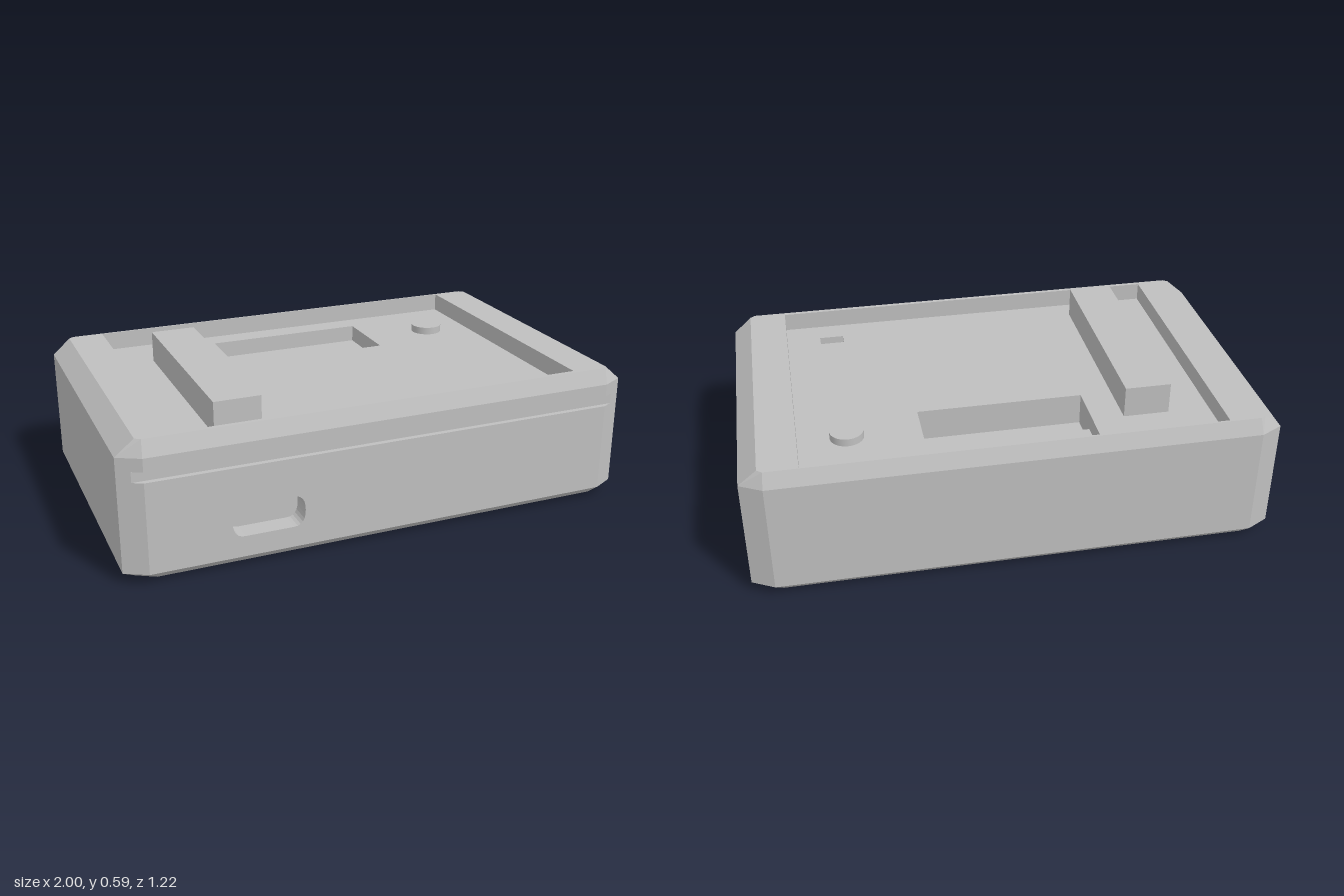
import * as THREE from 'three';

const grey = new THREE.MeshStandardMaterial({ color: 0xbfbfbf, side: THREE.DoubleSide });
grey.name = 'lightGrey';

// Eight-sided outline with cut corners, at height y
function ring(y, hx, hz, cx = 0.085, cz = 0.045) {
  return [
    [hx, hz - cz], [hx - cx, hz], [cx - hx, hz], [-hx, hz - cz],
    [-hx, cz - hz], [cx - hx, -hz], [hx - cx, -hz], [hx, cz - hz],
  ].map(([x, z]) => [x, y, z]);
}

// Full outline with the front sliced back, for the groove
function slicedRing(y) {
  const r = ring(y, 1, 0.61);
  r[1] = [0.953, y, 0.59];
  r[2] = [-0.953, y, 0.59];
  return r;
}

// Joins rings from bottom to top with flat faces; skip(level, side) leaves a gap
function loft(rings, skip = () => false) {
  const v = [];
  for (let k = 0; k < rings.length - 1; k++) {
    for (let i = 0; i < 8; i++) {
      if (skip(k, i)) continue;
      const j = (i + 1) % 8;
      const a = rings[k][i], b = rings[k][j], A = rings[k + 1][i], B = rings[k + 1][j];
      v.push(...a, ...A, ...b, ...b, ...A, ...B);
    }
  }
  const g = new THREE.BufferGeometry();
  g.setAttribute('position', new THREE.Float32BufferAttribute(v, 3));
  g.computeVertexNormals();
  return g;
}

// Walls of an opening, facing inward, between depths d0 and d1 along z
function lining(points, d0, d1) {
  const v = [];
  points.forEach((p, i) => {
    const q = points[(i + 1) % points.length];
    v.push(p.x, p.y, d0, p.x, p.y, d1, q.x, q.y, d0, q.x, q.y, d0, p.x, p.y, d1, q.x, q.y, d1);
  });
  const g = new THREE.BufferGeometry();
  g.setAttribute('position', new THREE.Float32BufferAttribute(v, 3));
  g.computeVertexNormals();
  return g;
}

const toPoints = (list) => list.map(([x, y]) => new THREE.Vector2(x, y));
// Rectangle on the plan, given in x and z
const planRect = (x0, x1, z0, z1) => toPoints([[x0, -z1], [x1, -z1], [x1, -z0], [x0, -z0]]);

function plate(outline, holes = []) {
  const s = new THREE.Shape(outline);
  s.holes = holes.map((h) => new THREE.Path(h));
  return new THREE.ShapeGeometry(s);
}

export function createModel() {
  const model = new THREE.Group();
  model.name = 'enclosure';
  const add = (name, geometry, x = 0, y = 0, z = 0) => {
    const m = new THREE.Mesh(geometry, grey);
    m.name = name;
    m.position.set(x, y, z);
    model.add(m);
    return m;
  };
  const addFlat = (name, geometry, y = 0) => add(name, geometry.rotateX(-Math.PI / 2), 0, y);
  const box = (name, x0, x1, y0, y1, z0, z1) => add(name,
    new THREE.BoxGeometry(x1 - x0, y1 - y0, z1 - z0), (x0 + x1) / 2, (y0 + y1) / 2, (z0 + z1) / 2);

  // Base tray with its rounded lower edge
  const foot = ring(0, 0.9, 0.55, 0.05, 0.03);
  const seam = 0.115, top = 0.54, floor = 0.467;
  add('baseTray', loft([foot, ring(0.018, 0.955, 0.59, 0.07, 0.04), ring(0.042, 1, 0.61), ring(seam, 1, 0.61)]));
  const underside = plate(toPoints(foot.map(([x, , z]) => [x, z]))).rotateX(Math.PI / 2);
  add('underside', underside);

  // Upper shell, with the groove across the front
  const rim = ring(top, 0.93, 0.585, 0.02, 0.015);
  add('upperShell', loft([
    ring(seam, 1, 0.61), ring(0.39, 1, 0.61), slicedRing(0.39), slicedRing(0.43),
    ring(0.43, 1, 0.61), ring(0.48, 1, 0.61), rim,
  ], (k, i) => k === 0 && i === 1));

  // Front panel with a rounded port
  const port = new THREE.Shape();
  const px0 = -0.612, px1 = -0.338, py0 = 0.122, py1 = 0.242, r = 0.045;
  port.moveTo(px0 + r, py0);
  port.lineTo(px1 - r, py0);
  port.quadraticCurveTo(px1, py0, px1, (py0 + py1) / 2);
  port.quadraticCurveTo(px1, py1, px1 - r, py1);
  port.lineTo(px0 + r, py1);
  port.quadraticCurveTo(px0, py1, px0, (py0 + py1) / 2);
  port.quadraticCurveTo(px0, py0, px0 + r, py0);
  const portPoints = port.getPoints(6).slice(0, -1);
  add('frontPanel', plate(toPoints([[-0.915, seam], [0.915, seam], [0.915, 0.39], [-0.915, 0.39]]), [portPoints]), 0, 0, 0.61);
  add('portWall', lining(portPoints, 0.53, 0.61));
  add('portBack', plate(portPoints), 0, 0, 0.53);

  // Top rim around the sunken panel
  const recess = planRect(-0.79, 0.785, -0.578, 0.568);
  const rimOutline = toPoints(rim.map(([x, , z]) => [x, -z]));
  addFlat('topRim', plate(rimOutline, [recess]), top);
  addFlat('recessWall', lining(recess, floor, top));

  // Sunken panel with a display window and a small slot
  const windowHole = planRect(-0.327, 0.32, -0.487, -0.19);
  const slotHole = planRect(0.55, 0.647, 0.415, 0.468);
  addFlat('sunkenPanel', plate(recess, [windowHole, slotHole]), floor);
  addFlat('windowWall', lining(windowHole, 0.34, floor));
  addFlat('windowFloor', plate(windowHole), 0.34);
  box('windowStep', -0.327, 0.32, 0.34, 0.4, -0.487, -0.333);
  addFlat('slotWall', lining(slotHole, 0.42, floor));
  addFlat('slotFloor', plate(slotHole), 0.42);

  // Raised bar and round button
  box('raisedBar', -0.627, -0.45, floor, 0.59, -0.37, 0.477);
  add('roundButton', new THREE.CylinderGeometry(0.064, 0.064, 0.03, 40), 0.6, floor + 0.015, -0.31);

  return model;
}
